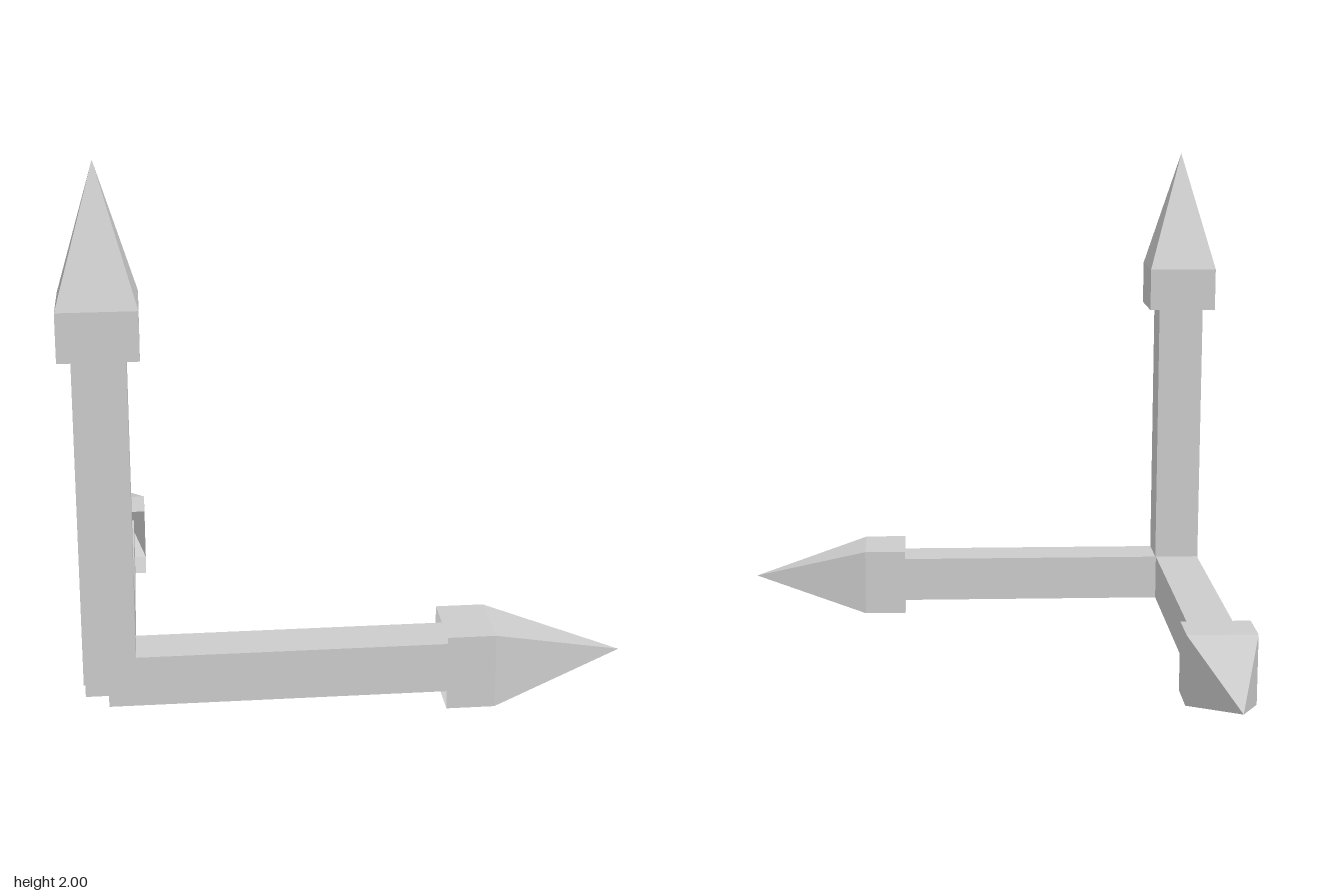
import * as THREE from 'three';

const TIP = 1.86;        // arrow length from the shared corner
const HEAD = 1.2;        // where the head begins
const SHOULDER = 1.375;  // where the head starts to taper
const START = -0.006;    // shaft begins just behind the corner point

const material = new THREE.MeshStandardMaterial({
  color: 0xcccccc, flatShading: true, side: THREE.DoubleSide,
});

// One arrow pointing up +y: a square shaft and a hollow square head
function createArrow(name) {
  const arrow = new THREE.Group();
  arrow.name = name;

  const end = HEAD + 0.02;
  const shaft = new THREE.Mesh(new THREE.BoxGeometry(0.187, end - START, 0.182), material);
  shaft.position.y = (end + START) / 2;
  shaft.name = name + 'Shaft';

  // Four-sided lathe: straight collar, then a pyramid, open underneath
  const profile = [[Math.SQRT2, HEAD], [Math.SQRT2, SHOULDER], [0, TIP]]
    .map(([r, y]) => new THREE.Vector2(r, y));
  const headGeometry = new THREE.LatheGeometry(profile, 4, Math.PI / 4);
  headGeometry.scale(0.139, 1, 0.136);
  const head = new THREE.Mesh(headGeometry, material);
  head.name = name + 'Head';

  arrow.add(shaft, head);
  return arrow;
}

export function createModel() {
  const model = new THREE.Group();
  model.name = 'axisArrows';

  const up = createArrow('upArrow');
  const side = createArrow('leftArrow');
  side.rotateZ(-Math.PI / 2);
  const back = createArrow('backArrow');
  back.rotateX(-Math.PI / 2).rotateY(Math.PI / 2);

  // All three arrows meet at one corner
  for (const arrow of [up, side, back]) {
    arrow.position.set(-0.861, 0.14, 0.862);
    model.add(arrow);
  }
  return model;
}
